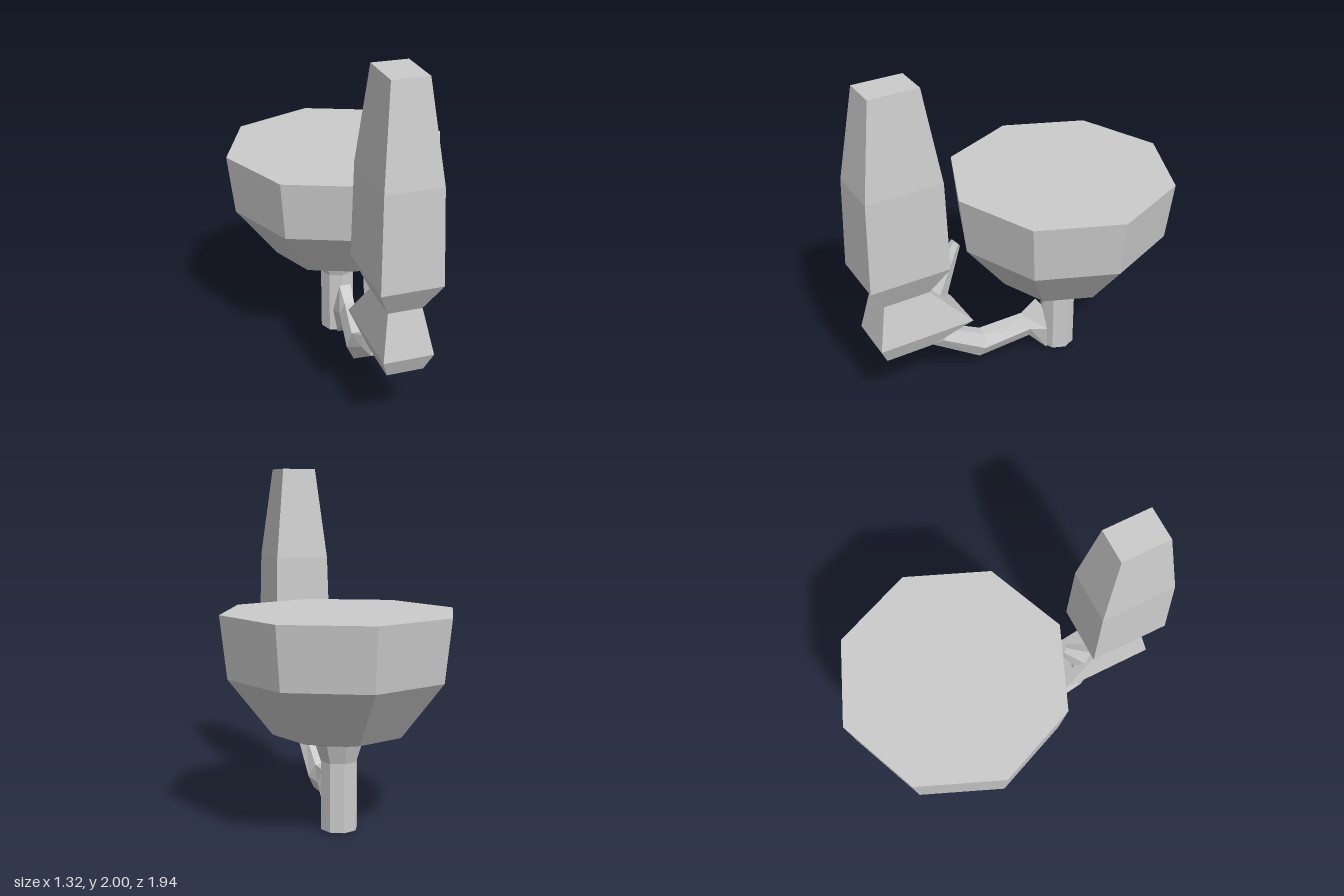
import * as THREE from 'three';

const material = new THREE.MeshStandardMaterial({ color: 0xcccccc, flatShading: true });

function addMesh(group, name, geometry) {
  const mesh = new THREE.Mesh(geometry, material);
  mesh.name = name;
  group.add(mesh);
  return mesh;
}

// Closed, faceted skin through rings of points (counterclockwise about the direction of travel).
function loft(rings) {
  const n = rings[0].length;
  const points = [];
  const tri = (a, b, c) => points.push(...a, ...b, ...c);
  for (let i = 0; i < rings.length - 1; i++) {
    for (let k = 0; k < n; k++) {
      const j = (k + 1) % n;
      tri(rings[i][k], rings[i][j], rings[i + 1][j]);
      tri(rings[i][k], rings[i + 1][j], rings[i + 1][k]);
    }
  }
  const first = rings[0];
  const last = rings[rings.length - 1];
  for (let k = 1; k < n - 1; k++) {
    tri(first[0], first[k + 1], first[k]);
    tri(last[0], last[k], last[k + 1]);
  }
  const geometry = new THREE.BufferGeometry();
  geometry.setAttribute('position', new THREE.Float32BufferAttribute(points, 3));
  geometry.computeVertexNormals();
  return geometry;
}

// Rectangular section at height y.
const rectRing = ([y, x0, x1, z0, z1]) => [[x0, y, z1], [x1, y, z1], [x1, y, z0], [x0, y, z0]];

// Six-sided section from its half width and its top and bottom edge positions.
function hexRing([x, halfWidth, topY, topZ, bottomY, bottomZ]) {
  return Array.from({ length: 6 }, (_, k) => {
    const a = (k * Math.PI) / 3;
    const s = Math.sin(a) / Math.sin(Math.PI / 3);
    return [
      x + halfWidth * Math.cos(a),
      (topY + bottomY) / 2 + (s * (topY - bottomY)) / 2,
      (topZ + bottomZ) / 2 + (s * (topZ - bottomZ)) / 2,
    ];
  });
}

export function createModel() {
  const model = new THREE.Group();
  model.name = 'bowlWithHandle';

  // Eight-sided bowl on its stem, closed at both ends
  const profile = [
    [0, 0.01], [0.105, 0.01], [0.105, 0.4], [0.14, 0.505],
    [0.375, 0.565], [0.62, 0.88], [0.66, 1.225], [0, 1.225],
  ].map(([r, y]) => new THREE.Vector2(r, y));
  addMesh(model, 'bowlAndStem', new THREE.LatheGeometry(profile, 8)).position.z = -0.31;

  // Tall mouthpiece: y, x range, z range
  addMesh(model, 'mouthpiece', loft([
    [0.39, -0.11, 0.095, 0.59, 0.88],
    [0.495, -0.145, 0.135, 0.35, 0.925],
    [0.755, -0.105, 0.085, 0.595, 0.87],
    [0.92, -0.18, 0.16, 0.495, 0.97],
    [1.46, -0.165, 0.15, 0.51, 0.955],
    [2.0, -0.11, 0.09, 0.59, 0.875],
  ].map(rectRing)));

  // Bent shank from the flared joint at the stem, through the mouthpiece, to a tapered tip
  addMesh(model, 'shank', loft([
    [0.005, 0.07, 0.35, -0.17, 0.0, -0.215],
    [0.0, 0.06, 0.28, -0.07, 0.14, -0.09],
    [-0.04, 0.073, 0.24, 0.2, 0.09, 0.24],
    [-0.045, 0.07, 0.36, 0.43, 0.3, 0.55],
    [-0.04, 0.065, 0.62, 0.44, 0.7, 0.56],
    [-0.04, 0.03, 0.915, 0.34, 0.955, 0.38],
  ].map(hexRing)));

  return model;
}
